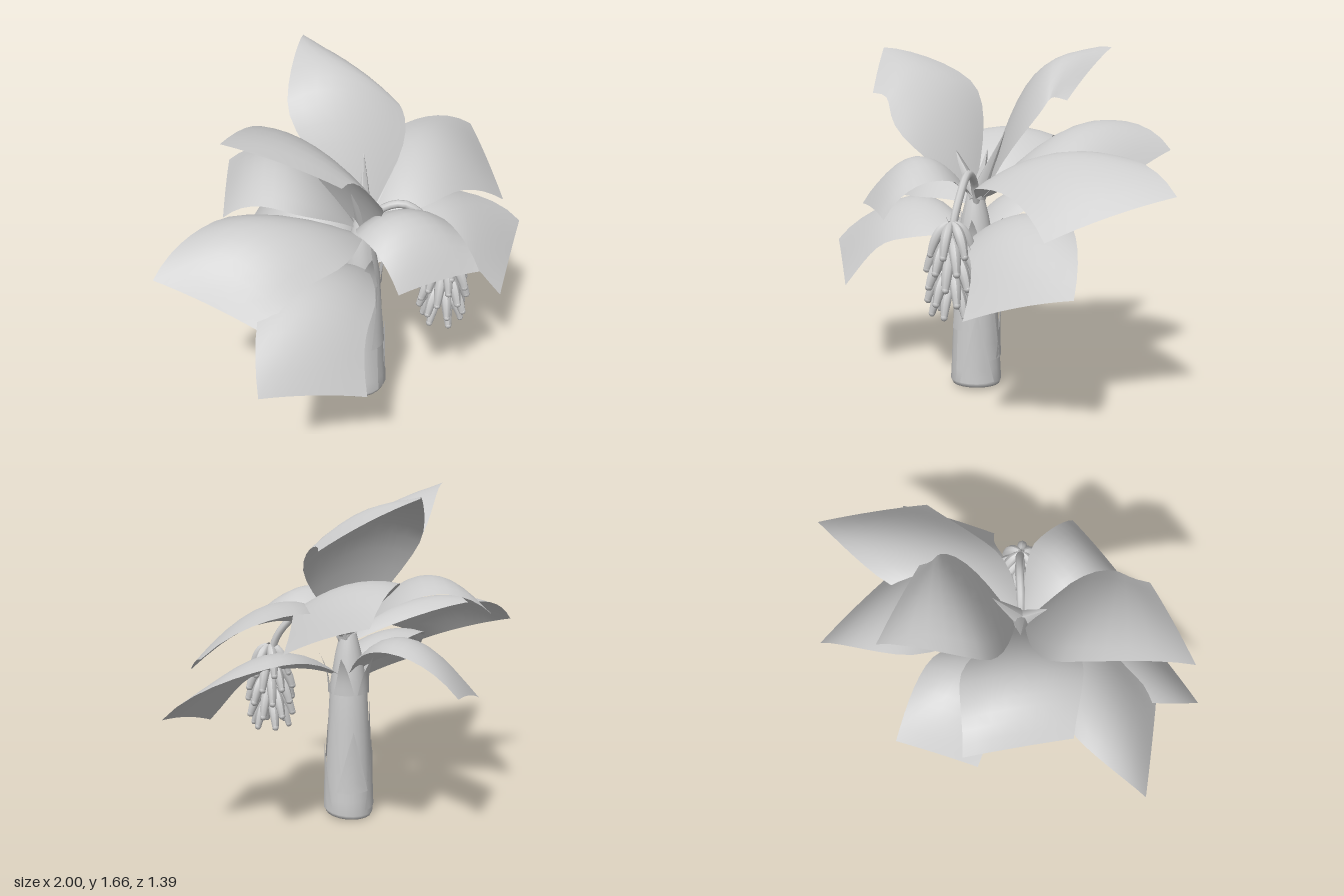
import * as THREE from 'three';

const V = (x, y, z) => new THREE.Vector3(x, y, z);
const plantGrey = new THREE.MeshStandardMaterial({ color: 0xcccccc, side: THREE.DoubleSide });
plantGrey.name = 'plantGrey';

const CX = -0.083, CZ = 0.092; // trunk axis

function add(parent, name, geometry) {
  const mesh = new THREE.Mesh(geometry, plantGrey);
  mesh.name = name;
  parent.add(mesh);
  return mesh;
}

// Surface over a (u, v) grid, u and v running from 0 to 1
function surface(nu, nv, fn) {
  const pos = [], idx = [];
  for (let i = 0; i <= nu; i++)
    for (let j = 0; j <= nv; j++) pos.push(...fn(i / nu, j / nv).toArray());
  for (let i = 0; i < nu; i++)
    for (let j = 0; j < nv; j++) {
      const a = i * (nv + 1) + j, b = a + nv + 1;
      idx.push(a, a + 1, b, a + 1, b + 1, b);
    }
  const g = new THREE.BufferGeometry();
  g.setAttribute('position', new THREE.Float32BufferAttribute(pos, 3));
  g.setIndex(idx);
  g.computeVertexNormals();
  return g;
}

// Arched blade: base, middle of the rib, half width there, and the two corners of its cut tip
function leaf(base, mid, midHalf, left, right, droop) {
  const tip = left.clone().add(right).multiplyScalar(0.5);
  tip.y += 0.015;
  const ctrl = mid.clone().multiplyScalar(2).sub(base.clone().add(tip).multiplyScalar(0.5));
  const rib = new THREE.QuadraticBezierCurve3(base, ctrl, tip);
  const tipHalf = right.clone().sub(left).multiplyScalar(0.5);
  return surface(12, 8, (t, v) => {
    const s = v * 2 - 1;
    const width = 0.13 + 0.87 * Math.sin(Math.PI / 2 * Math.min(1, t / 0.48));
    const half = midHalf.clone().lerp(tipHalf, THREE.MathUtils.smoothstep(t, 0.45, 1));
    const p = rib.getPoint(t).addScaledVector(half, s * width);
    p.y -= s * s * (0.015 * t + droop * Math.sin(Math.PI * t));
    return p;
  });
}

const trunkRadius = y => y < 0.7 ? 0.126 - 0.044 * y : 0.095 - 0.15 * (y - 0.7);

// Pointed sheath wrapped around the trunk
function sheath(angle, spread, y0, y1, flare) {
  return surface(6, 4, (t, v) => {
    const y = y0 + (y1 - y0) * t;
    const a = angle + (v * 2 - 1) * spread * (1 - t);
    const r = trunkRadius(y) + 0.006 + flare * t * t;
    return V(CX + Math.sin(a) * r, y, CZ + Math.cos(a) * r);
  });
}

export function createModel() {
  const model = new THREE.Group();
  model.name = 'fruitPlant';

  // Trunk with a slightly slanted foot
  const profile = [[0.001, 0.01], [0.118, 0.01], [0.126, 0.03], [0.122, 0.1], [0.113, 0.3],
    [0.104, 0.5], [0.093, 0.7], [0.065, 0.86], [0.03, 1.0], [0.001, 1.03]];
  const trunkGeo = new THREE.LatheGeometry(profile.map(p => new THREE.Vector2(...p)), 20);
  const tp = trunkGeo.attributes.position;
  for (let i = 0; i < tp.count; i++)
    if (tp.getY(i) < 0.05) tp.setY(i, tp.getY(i) + 0.04 * tp.getX(i) + 0.06 * tp.getZ(i));
  trunkGeo.computeVertexNormals();
  add(model, 'trunk', trunkGeo).position.set(CX, 0, CZ);

  // Dry sheaths: angle, spread, bottom, top, flare
  [[1.5, 0.6, 0.15, 0.67, 0], [0.95, 0.7, 0.04, 0.4, 0.01], [2.5, 0.7, 0.15, 0.48, 0.02],
    [-1.3, 0.35, 0.3, 0.55, 0.02], [0.15, 0.5, 0.3, 0.7, 0], [-2.5, 0.6, 0.2, 0.68, 0],
    [3.6, 0.6, 0.05, 0.42, 0.01]].forEach(s => add(model, 'trunkSheath', sheath(...s)));
  for (let i = 0; i < 5; i++)
    add(model, 'crownSheath', sheath(0.8 + i * 1.257, 0.55, 0.66, 0.86, 0.07));

  // Leaves: base height, rib middle, half width there, two tip corners, droop
  const leaves = new THREE.Group();
  leaves.name = 'leaves';
  model.add(leaves);
  const middle = [
    [0.95, [0.42, 1.19, 0.05], [-0.13, -0.07, 0.24], [1.0, 1.06, -0.1], [0.7, 0.88, 0.35], 0.07],
    [0.92, [-0.55, 1.09, -0.02], [0.1, -0.08, 0.25], [-1.0, 0.94, -0.27], [-0.79, 0.78, 0.2], 0.08],
    [0.96, [-0.12, 1.16, 0.39], [0.2, -0.01, 0.06], [-0.35, 0.93, 0.56], [0.04, 0.92, 0.69], 0.07],
    [0.96, [-0.27, 1.25, -0.2], [0.2, 0.02, -0.19], [-0.6, 1.08, -0.27], [-0.26, 1.12, -0.63], 0.06],
    [0.96, [0.28, 1.28, -0.22], [0.08, -0.08, 0.24], [0.55, 1.18, -0.59], [0.57, 1.0, -0.12], 0.05]];
  const lower = [
    [0.75, [0.38, 0.91, 0.21], [-0.13, -0.07, 0.18], [0.875, 0.68, 0.35], [0.43, 0.53, 0.56], 0.07],
    [0.75, [-0.5, 0.88, 0.23], [0.16, -0.07, 0.17], [-0.97, 0.63, 0.35], [-0.54, 0.49, 0.56], 0.07],
    [0.76, [-0.05, 1.0, -0.29], [-0.21, -0.05, 0.07], [0.09, 0.81, -0.7], [-0.28, 0.71, -0.56], 0.07]];
  const upper = [
    [0.98, [-0.36, 1.46, 0.13], [0.05, -0.1, 0.27], [-0.86, 1.66, 0.1], [-0.51, 1.44, 0.39], 0.06],
    [0.98, [0.08, 1.52, -0.15], [0.22, -0.06, 0.17], [0.19, 1.66, -0.55], [0.34, 1.42, -0.11], 0.09]];
  [...middle, ...lower, ...upper].forEach(([y, m, h, l, r, d]) => {
    const base = V(CX + 0.02, y, CZ).addScaledVector(V(m[0] - CX, 0, m[2] - CZ).normalize(), 0.04);
    add(leaves, 'leaf', leaf(base, V(...m), V(...h), V(...l), V(...r), d));
  });

  // Young spikes in the crown
  [[-0.2, 1.2, 0.14], [0.035, 1.27, 0.0], [-0.15, 1.17, -0.04]].forEach(tip => {
    const a = V(-0.06, 0.95, 0.1), d = V(...tip).sub(a);
    const spike = add(model, 'youngSpike', new THREE.ConeGeometry(0.045, d.length(), 5));
    spike.position.copy(a).addScaledVector(d, 0.5);
    spike.quaternion.setFromUnitVectors(V(0, 1, 0), d.normalize());
  });

  // Bending fruit stalk
  const stalk = new THREE.CatmullRomCurve3([V(-0.06, 0.9, 0.1), V(-0.02, 1.04, 0.15), V(0.05, 1.08, 0.24),
    V(0.12, 0.99, 0.34), V(0.15, 0.86, 0.4), V(0.155, 0.58, 0.41)]);
  add(model, 'fruitStalk', new THREE.TubeGeometry(stalk, 24, 0.019, 8));

  // Hanging bunch: tiers of curved fruit with blunt ends
  const bunch = new THREE.Group();
  bunch.name = 'fruitBunch';
  bunch.position.set(0.155, 0, 0.41);
  model.add(bunch);
  const bend = new THREE.QuadraticBezierCurve3(V(0.012, 0, 0), V(0.07, -0.03, 0), V(0.1, -0.14, 0));
  const radii = [0.01, 0.016, 0.021, 0.024, 0.025, 0.025, 0.024, 0.022, 0.019, 0.016];
  const fruitGeo = surface(9, 8, (t, v) => {
    const p = bend.getPoint(t), tan = bend.getTangent(t), a = -v * Math.PI * 2;
    const r = radii[Math.round(t * 9)];
    return p.add(V(-tan.y, tan.x, 0).multiplyScalar(Math.cos(a) * r)).add(V(0, 0, Math.sin(a) * r));
  });
  const endGeo = new THREE.SphereGeometry(0.017, 8, 6);
  // Tier height, count and spread
  [[0.89, 6, 0.95], [0.82, 7, 1.1], [0.75, 7, 1.12], [0.68, 7, 1.08], [0.62, 6, 0.92]].forEach(([y, n, s], k) => {
    for (let i = 0; i < n; i++) {
      const fruit = new THREE.Group();
      fruit.name = 'fruit';
      add(fruit, 'fruitBody', fruitGeo);
      add(fruit, 'fruitEnd', endGeo).position.set(0.1, -0.138, 0);
      fruit.position.y = y;
      fruit.rotation.y = (i + (k % 2) * 0.5) / n * Math.PI * 2;
      fruit.scale.set(s, 1, 1);
      bunch.add(fruit);
    }
  });
  return model;
}
